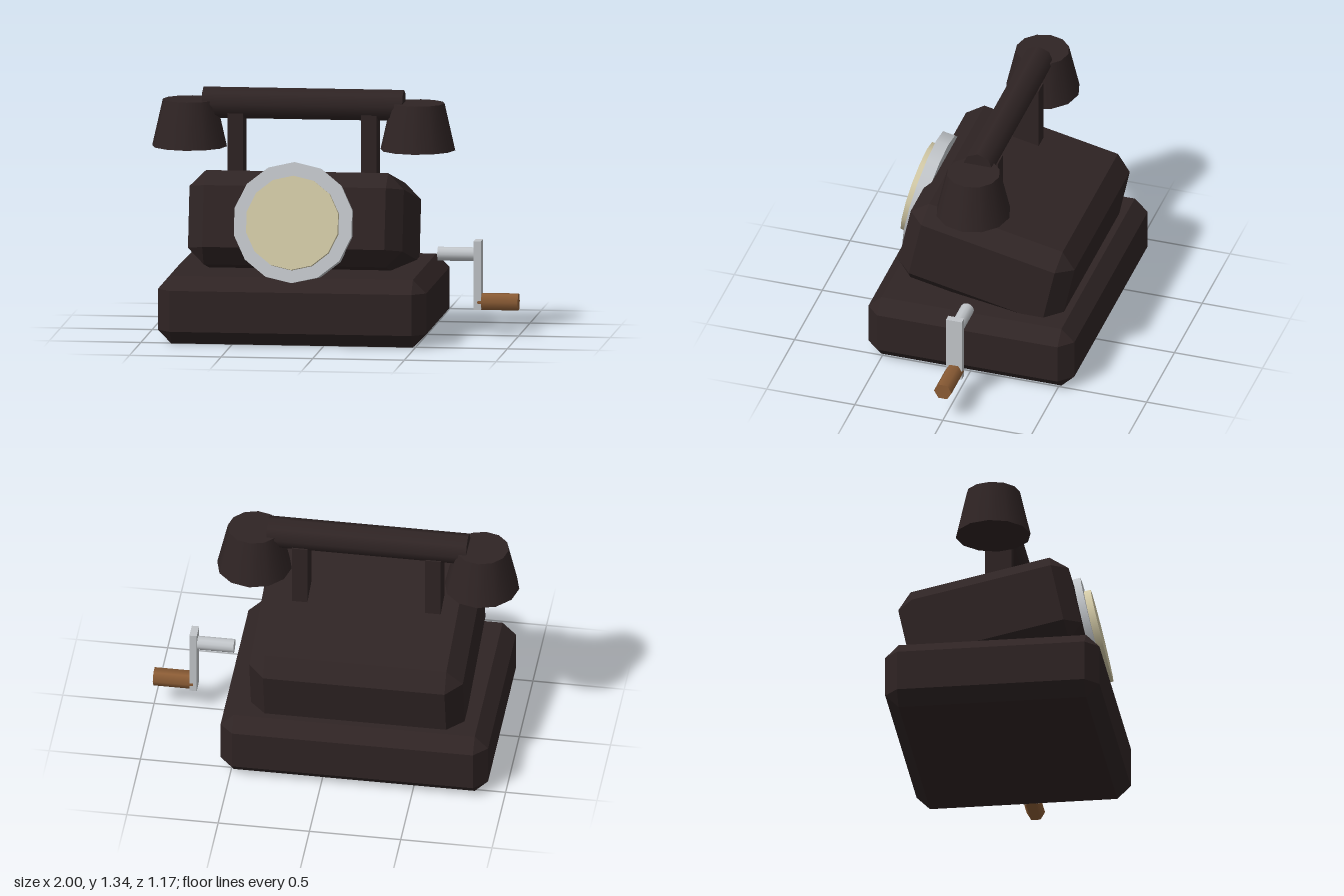
import * as THREE from 'three';
import { ConvexGeometry } from 'three/addons/geometries/ConvexGeometry.js';

// Box with every edge and corner cut at 45 degrees
function chamferedBox(w, h, d, c) {
  const half = [w / 2, h / 2, d / 2];
  const points = [];
  for (const sx of [-1, 1]) for (const sy of [-1, 1]) for (const sz of [-1, 1]) {
    for (let axis = 0; axis < 3; axis++) {
      const p = half.map((v, i) => (i === axis ? v : v - c));
      points.push(new THREE.Vector3(sx * p[0], sy * p[1], sz * p[2]));
    }
  }
  return new ConvexGeometry(points);
}

export function createModel() {
  const mat = (name, color) => {
    const m = new THREE.MeshStandardMaterial({ color });
    m.name = name;
    return m;
  };
  const dark = mat('darkBakelite', 0x2f2424);
  const silver = mat('silverMetal', 0xc1c5c9);
  const cream = mat('creamDial', 0xd2c9a6);
  const wood = mat('woodBrown', 0x8b5c35);

  const model = new THREE.Group();
  model.name = 'crankTelephone';
  const add = (name, geometry, material, x, y, z, parent = model) => {
    const mesh = new THREE.Mesh(geometry, material);
    mesh.name = name;
    mesh.position.set(x, y, z);
    parent.add(mesh);
    return mesh;
  };
  // Cylinder lying along x between two positions
  const rod = (name, material, r, x0, x1, y, sides) =>
    add(name, new THREE.CylinderGeometry(r, r, x1 - x0, sides).rotateZ(Math.PI / 2),
      material, (x0 + x1) / 2, y, 0);

  const cx = -0.173; // centre line of the telephone without its crank

  // Base and tilted body
  add('base', chamferedBox(1.465, 0.37, 1.17, 0.073), dark, cx, 0.185, 0);
  const housing = new THREE.Group();
  housing.name = 'housing';
  housing.position.set(cx, 0.589, -0.035);
  housing.rotation.x = THREE.MathUtils.degToRad(-12);
  model.add(housing);
  add('body', chamferedBox(1.17, 0.512, 0.951, 0.088), dark, 0, 0, 0, housing);

  // Dial on the sloping front
  const disc = (r, depth) => new THREE.CylinderGeometry(r, r, depth, 14).rotateX(Math.PI / 2);
  add('dialRim', disc(0.329, 0.07), silver, 0, -0.03, 0.481, housing);
  add('dialFace', disc(0.256, 0.07), cream, 0, -0.034, 0.519, housing);

  // Cradle posts, handset bar and the two cups
  for (const side of [-1, 1]) {
    const label = side > 0 ? 'left' : 'right';
    add(label + 'CradlePost', new THREE.BoxGeometry(0.085, 0.5, 0.145), dark,
      cx + side * 0.365, 0.95, 0);
    add(label + 'HandsetCup', new THREE.CylinderGeometry(0.146, 0.204, 0.255, 12), dark,
      cx + side * 0.623, 1.1375, 0);
  }
  rod('handsetBar', dark, 0.085, -0.72, 0.374, 1.25, 8);

  // Hand crank
  rod('crankShaft', silver, 0.038, 0.56, 0.78, 0.443, 12);
  add('crankArm', new THREE.BoxGeometry(0.04, 0.375, 0.09), silver, 0.78, 0.3325, 0);
  rod('crankGrip', wood, 0.05, 0.78, 1.0, 0.186, 6);

  return model;
}
